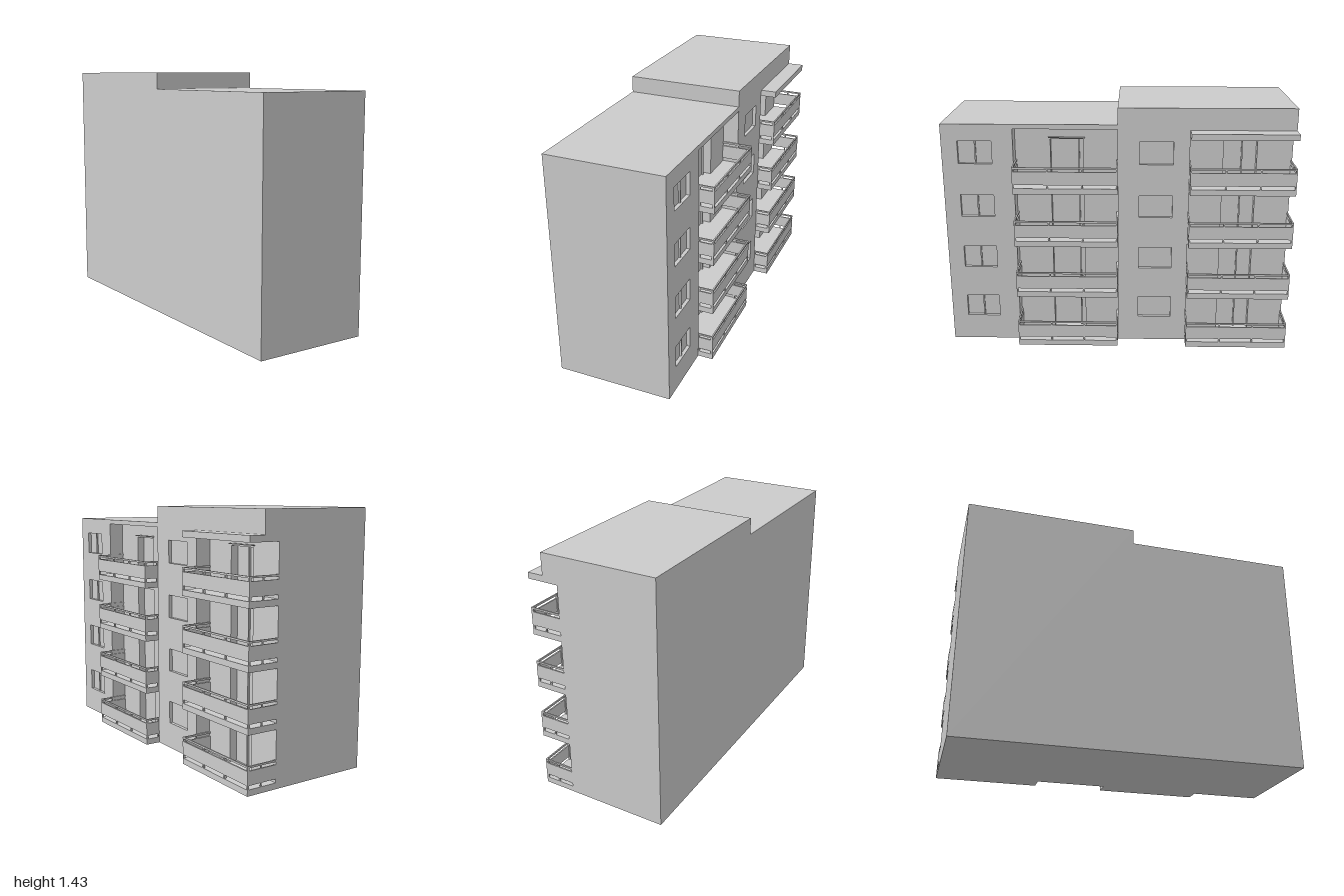
import * as THREE from 'three';

const FLOOR = 0.3175, FLOORS = 4;
const BACK_X = -0.385, CORE_X = 0.15, RECESS_X = 0.2, FACE_X = 0.29;
const material = new THREE.MeshStandardMaterial({ color: 0xcccccc, flatShading: true });

// Box given by its minimum and maximum on each axis
function box(parent, name, x0, x1, y0, y1, z0, z1) {
  const mesh = new THREE.Mesh(new THREE.BoxGeometry(x1 - x0, y1 - y0, z1 - z0), material);
  mesh.position.set((x0 + x1) / 2, (y0 + y1) / 2, (z0 + z1) / 2);
  mesh.name = name;
  parent.add(mesh);
  return mesh;
}

function rectangle(target, z0, z1, y0, y1) {
  target.moveTo(-z1, y0).lineTo(-z0, y0).lineTo(-z0, y1).lineTo(-z1, y1).closePath();
  return target;
}

// Wall facing +x with one rectangular opening per floor
function wall(parent, name, x0, x1, z0, z1, height, opening) {
  const shape = rectangle(new THREE.Shape(), z0, z1, 0, height);
  for (let i = 0; i < FLOORS; i++) {
    const y = i * FLOOR;
    shape.holes.push(rectangle(new THREE.Path(), opening.z0, opening.z1, y + opening.y0, y + opening.y1));
  }
  const geometry = new THREE.ExtrudeGeometry(shape, { depth: x1 - x0, bevelEnabled: false });
  geometry.rotateY(Math.PI / 2).translate(x0, 0, 0);
  const mesh = new THREE.Mesh(geometry, material);
  mesh.name = name;
  parent.add(mesh);
}

// Slab with a panelled railing on its three open sides
function balcony(z0, z1, outer) {
  const group = new THREE.Group();
  group.name = 'balcony';
  const t = 0.008;
  box(group, 'balconySlab', CORE_X - 0.005, outer, 0, 0.034, z0, z1);
  for (const [name, y0, y1] of [['railingPanel', 0.055, 0.132], ['handrail', 0.147, 0.157]]) {
    box(group, name, outer - t, outer, y0, y1, z0, z1);
    box(group, name, RECESS_X, outer - t, y0, y1, z0, z0 + t);
    box(group, name, RECESS_X, outer - t, y0, y1, z1 - t, z1);
  }
  for (let i = 0; i <= 3; i++) {
    const z = z0 + (z1 - z0 - t) * i / 3;
    box(group, 'railingPost', outer - t - 0.004, outer - 0.001, 0.034, 0.15, z, z + t);
  }
  for (const z of [z0, z1 - t])
    box(group, 'railingPost', FACE_X, FACE_X + t, 0.034, 0.15, z + 0.001, z + t - 0.001);
  return group;
}

// Half of the building: plain pier with windows beside a recessed balcony bay
function block(name, o) {
  const group = new THREE.Group();
  group.name = name;
  const { z0, split, z1, height, recessTop, windowZ, doorZ } = o;
  box(group, 'core', BACK_X, CORE_X, 0, height, z0, z1);
  wall(group, 'windowWall', CORE_X, FACE_X, split, z1, height,
    { z0: windowZ[0], z1: windowZ[1], y0: 0.153, y1: 0.285 });
  wall(group, 'balconyWall', CORE_X, RECESS_X, z0, split, recessTop,
    { z0: doorZ[0], z1: doorZ[1], y0: 0.034, y1: 0.277 });
  box(group, 'header', CORE_X, FACE_X, recessTop, height, z0, split);

  for (let i = 0; i < FLOORS; i++) {
    const y = i * FLOOR;
    // Window pane set back in its opening, with an optional mullion
    box(group, 'windowPane', FACE_X - 0.03, FACE_X - 0.02, y + 0.153, y + 0.285, ...windowZ);
    if (o.mullionZ !== undefined)
      box(group, 'windowMullion', FACE_X - 0.02, FACE_X - 0.01, y + 0.153, y + 0.285,
        o.mullionZ - 0.004, o.mullionZ + 0.004);
    // Balcony door with its dividing bar
    box(group, 'doorPane', CORE_X - 0.002, CORE_X + 0.006, y + 0.034, y + 0.277, ...doorZ);
    box(group, 'doorBar', CORE_X + 0.006, CORE_X + 0.016, y + 0.034, y + 0.277,
      o.barZ - 0.004, o.barZ + 0.004);
    const unit = balcony(z0, split, o.outer);
    unit.position.y = y;
    group.add(unit);
  }
  // Thin ledge over the top door
  const ledgeY = (FLOORS - 1) * FLOOR + 0.285;
  box(group, 'doorLedge', RECESS_X, RECESS_X + 0.012, ledgeY, ledgeY + 0.006, doorZ[0] - 0.01, doorZ[1] + 0.01);
  return group;
}

export function createModel() {
  const model = new THREE.Group();
  model.name = 'apartmentBuilding';
  model.add(block('lowerBlock', {
    z0: 0, split: 0.593, z1: 1, height: 1.335, recessTop: 1.308, outer: 0.378,
    windowZ: [0.715, 0.908], mullionZ: 0.81, doorZ: [0.2, 0.39], barZ: 0.228,
  }));
  const tall = block('tallBlock', {
    z0: -1, split: -0.407, z1: 0, height: 1.43, recessTop: 1.27, outer: 0.383,
    windowZ: [-0.315, -0.122], doorZ: [-0.797, -0.605], barZ: -0.715,
  });
  // Canopy over the top balcony
  box(tall, 'canopy', FACE_X, 0.383, 1.27, 1.305, -1, -0.407);
  model.add(tall);
  return model;
}
